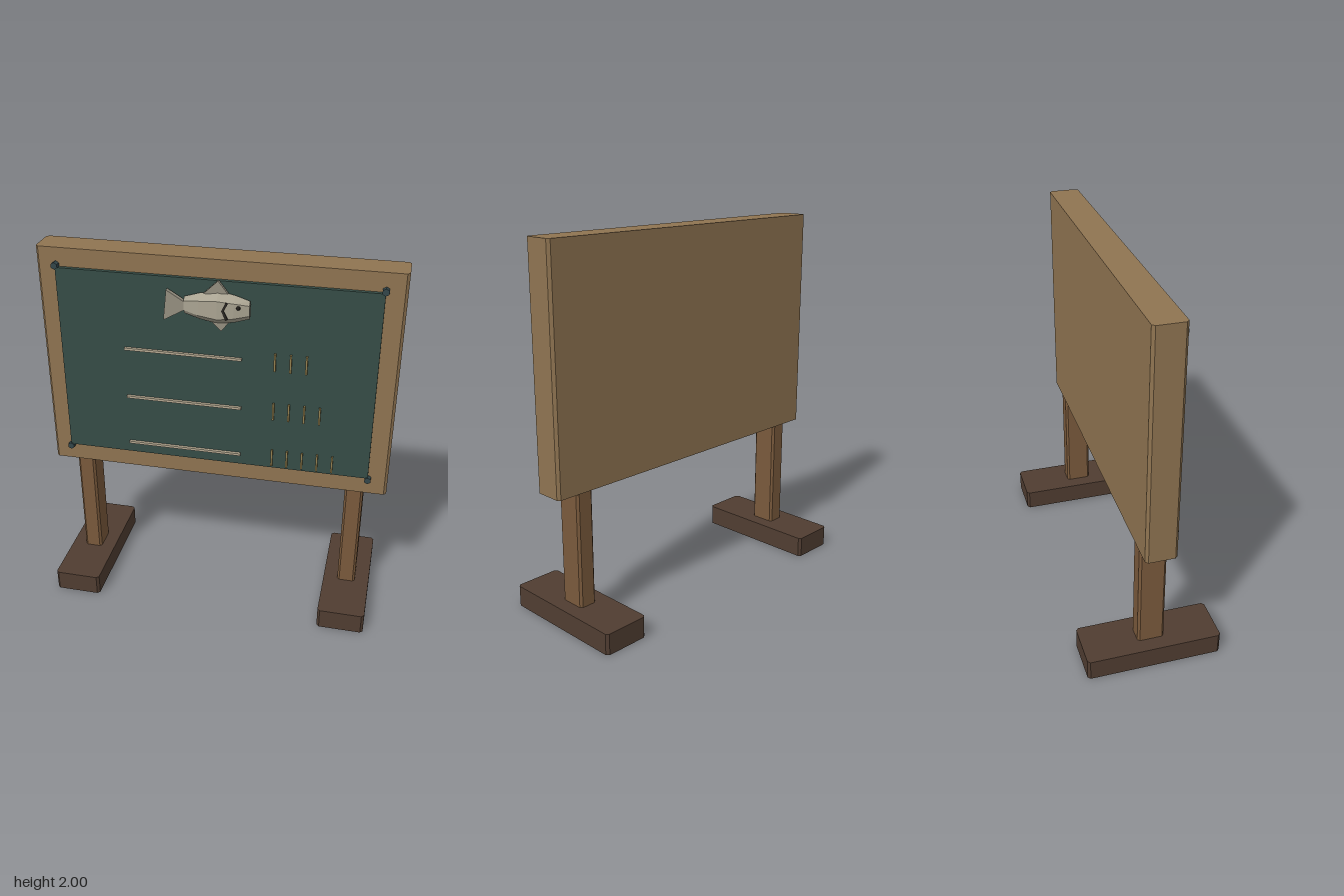
import * as THREE from 'three';

const mat = (color, side = THREE.FrontSide) =>
  new THREE.MeshStandardMaterial({ color, side, flatShading: true });
const frameWood = mat(0x8f7451);
const postWood = mat(0x7a5a3c);
const footWood = mat(0x503d31);
const slate = mat(0x364d47);
const bolt = mat(0x33464a);
const chalk = mat(0xb5a992);
const brass = mat(0x94804f);
const fishSkin = mat(0xaaa492);
const finSkin = mat(0x958f80);
const dark = mat(0x2b2723);

function add(parent, name, geometry, material, x = 0, y = 0, z = 0) {
  const mesh = new THREE.Mesh(geometry, material);
  mesh.name = name;
  mesh.position.set(x, y, z);
  parent.add(mesh);
  return mesh;
}

// Flat outline extruded along +z
function plate(points, depth) {
  const shape = new THREE.Shape(points.map(([x, y]) => new THREE.Vector2(x, y)));
  return new THREE.ExtrudeGeometry(shape, { depth, bevelEnabled: false });
}

// Block standing on y = 0 with its four upright edges chamfered
function block(w, h, d, c) {
  const x = w / 2, z = d / 2;
  const g = plate([[x - c, -z], [x, c - z], [x, z - c], [x - c, z],
    [c - x, z], [-x, z - c], [-x, c - z], [c - x, -z]], h);
  return g.rotateX(-Math.PI / 2);
}

// Faceted fish body lofted through eight-sided cross-sections
function fishBody() {
  const sections = [ // x, half height, half depth
    [-0.15, 0.045, 0.014], [-0.07, 0.07, 0.034], [0.025, 0.088, 0.044],
    [0.11, 0.072, 0.036], [0.185, 0.048, 0.016]];
  const ring = [[1, 0], [0.55, 0.8], [-0.55, 0.8], [-1, 0], [-0.55, -0.8], [0.55, -0.8]];
  const n = ring.length, pos = [], index = [];
  for (const [x, hy, hz] of sections)
    for (const [a, b] of ring) pos.push(x, a * hy, b * hz * 1.25);
  for (let s = 0; s < sections.length - 1; s++)
    for (let i = 0; i < n; i++) {
      const a = s * n + i, b = s * n + (i + 1) % n;
      index.push(a, a + n, b, b, a + n, b + n);
    }
  const last = (sections.length - 1) * n;
  for (let i = 1; i < n - 1; i++) {
    index.push(0, i, i + 1);
    index.push(last, last + i + 1, last + i);
  }
  // Guarantee outward winding
  const g = new THREE.BufferGeometry();
  g.setAttribute('position', new THREE.Float32BufferAttribute(pos, 3));
  g.setIndex(index);
  const flat = g.toNonIndexed();
  const p = flat.attributes.position;
  const [A, B, C, N] = [0, 0, 0, 0].map(() => new THREE.Vector3());
  for (let i = 0; i < p.count; i += 3) {
    A.fromBufferAttribute(p, i);
    B.fromBufferAttribute(p, i + 1);
    C.fromBufferAttribute(p, i + 2);
    N.subVectors(B, A).cross(C.clone().sub(A));
    const mid = A.clone().add(B).add(C).divideScalar(3);
    mid.x -= 0.02;
    if (N.dot(mid) < 0) {
      p.setXYZ(i + 1, C.x, C.y, C.z);
      p.setXYZ(i + 2, B.x, B.y, B.z);
    }
  }
  flat.computeVertexNormals();
  return flat;
}

function makeFish() {
  const fish = new THREE.Group();
  fish.name = 'fish';
  add(fish, 'fishBody', fishBody(), fishSkin);
  add(fish, 'tailFin',
    plate([[-0.14, 0.015], [-0.24, 0.075], [-0.258, -0.088], [-0.14, -0.02]], 0.026), finSkin, 0, 0, -0.013);
  add(fish, 'backFin', plate([[-0.05, 0.07], [0.075, 0.078], [0.025, 0.142]], 0.018), finSkin, 0, 0, -0.009);
  add(fish, 'bellyFin', plate([[-0.005, -0.08], [0.04, -0.123], [0.08, -0.075]], 0.018), finSkin, 0, 0, -0.009);
  // Gill chevron and eye
  for (const s of [1, -1]) {
    const bar = add(fish, 'gill', new THREE.BoxGeometry(0.012, 0.05, 0.008), dark, 0.065, s * 0.021, 0.043);
    bar.rotation.z = -s * 0.45;
  }
  add(fish, 'eye', new THREE.SphereGeometry(0.011, 8, 6), dark, 0.132, 0.018, 0.032);
  fish.position.set(0, 1.768, 0.128);
  return fish;
}

export function createModel() {
  const model = new THREE.Group();
  model.name = 'standingBoard';

  // Wooden board with slate panel
  add(model, 'boardFrame', block(1.88, 1.255, 0.166, 0.014), frameWood, 0, 0.745, 0);
  add(model, 'slatePanel', new THREE.BoxGeometry(1.67, 1.05, 0.03), slate, 0, 1.375, 0.09);

  // Legs, feet and corner bolts
  const hex = new THREE.CylinderGeometry(0.019, 0.019, 0.03, 6).rotateX(Math.PI / 2);
  for (const s of [-1, 1]) {
    add(model, 'post', block(0.1, 0.76, 0.145, 0.012), postWood, s * 0.767, 0, 0);
    add(model, 'foot', block(0.258, 0.115, 0.73, 0.014), footWood, s * 0.767, 0, 0);
    for (const y of [0.84, 1.91]) add(model, 'cornerBolt', hex, bolt, s * 0.835, y, 0.099);
  }

  // Three rows: a chalk rule followed by a growing count of tally sticks
  [1.488, 1.204, 0.919].forEach((y, row) => {
    add(model, 'rule', new THREE.BoxGeometry(0.625, 0.013, 0.016), chalk, -0.168, y, 0.119);
    for (let i = 0; i < 3 + row; i++)
      add(model, 'tally', new THREE.BoxGeometry(0.01, 0.098, 0.014), brass, 0.316 + i * 0.081, y, 0.118);
  });

  model.add(makeFish());
  return model;
}
